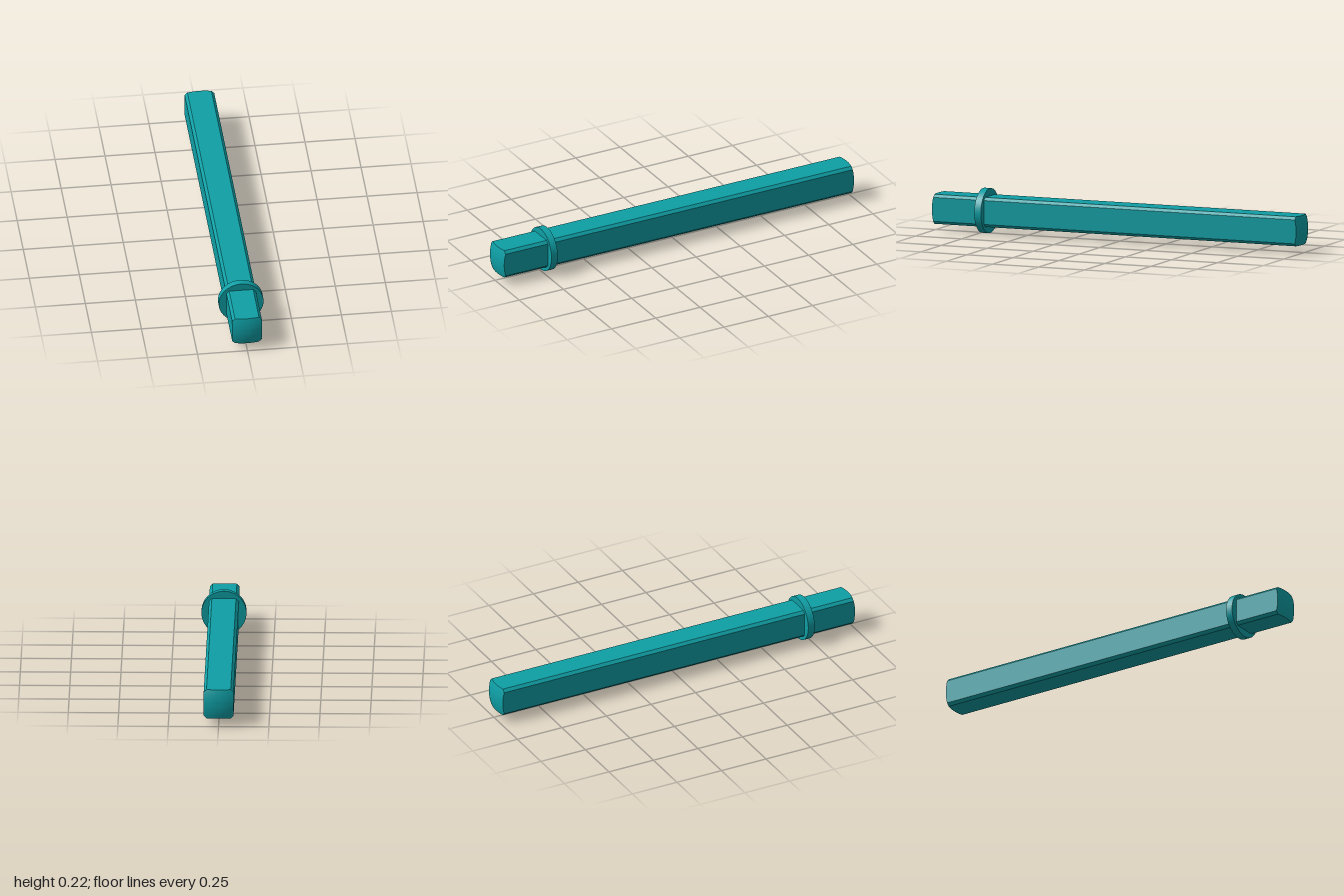
import * as THREE from 'three';
import { toCreasedNormals } from 'three/addons/utils/BufferGeometryUtils.js';

const HALF = 0.074;      // half width of the square bar
const FLAT = 0.06;       // half width of each flat between the chamfers
const DOME = 0.25;       // radius of the domed ends
const RADIUS = 0.112;    // collar radius, also the height of the axis

// Chamfered square outline, anticlockwise, with each flat divided for the domes
function barOutline(steps = 10) {
  const points = [];
  for (let side = 0; side < 4; side++) {
    for (let i = 0; i <= steps; i++) {
      const p = new THREE.Vector2(HALF, FLAT * (2 * i / steps - 1));
      points.push(p.rotateAround(new THREE.Vector2(), side * Math.PI / 2));
    }
  }
  return points;
}

// Cross-sections run from the front dome's centre, along the bar, to the rear centre
function barGeometry(rings = 8) {
  const outline = barOutline();
  const n = outline.length;
  const positions = [];
  const index = [];
  const addLoop = (scale, end) => {
    for (const p of outline) {
      const x = p.x * scale, y = p.y * scale;
      const drop = DOME - Math.sqrt(DOME * DOME - x * x - y * y);
      positions.push(x, y, end * (1 - drop));
    }
  };
  for (let i = 0; i <= rings; i++) addLoop(i / rings, 1);
  for (let i = rings; i >= 0; i--) addLoop(i / rings, -1);

  const last = 2 * rings;
  for (let r = 0; r <= last; r++) {
    for (let j = 0; j < n; j++) {
      const k = (j + 1) % n;
      const a = r * n + j, b = r * n + k, c = a + n, d = b + n;
      if (r > 0) index.push(a, d, b);
      if (r < last) index.push(a, c, d);
    }
  }
  const geometry = new THREE.BufferGeometry();
  geometry.setAttribute('position', new THREE.Float32BufferAttribute(positions, 3));
  geometry.setIndex(index);
  return toCreasedNormals(geometry, Math.PI / 6);
}

export function createModel() {
  const group = new THREE.Group();
  group.name = 'squareSpindle';
  const material = new THREE.MeshStandardMaterial({ color: 0x0e9fa5 });

  // Long square bar with chamfered edges and domed ends
  const bar = new THREE.Mesh(barGeometry(), material);
  bar.name = 'bar';
  bar.position.y = RADIUS;
  group.add(bar);

  // Round stop collar near the front end
  const collar = new THREE.Mesh(new THREE.CylinderGeometry(RADIUS, RADIUS, 0.036, 64), material);
  collar.name = 'collar';
  collar.rotation.x = Math.PI / 2;
  collar.position.set(0, RADIUS, 0.724);
  group.add(collar);

  return group;
}
